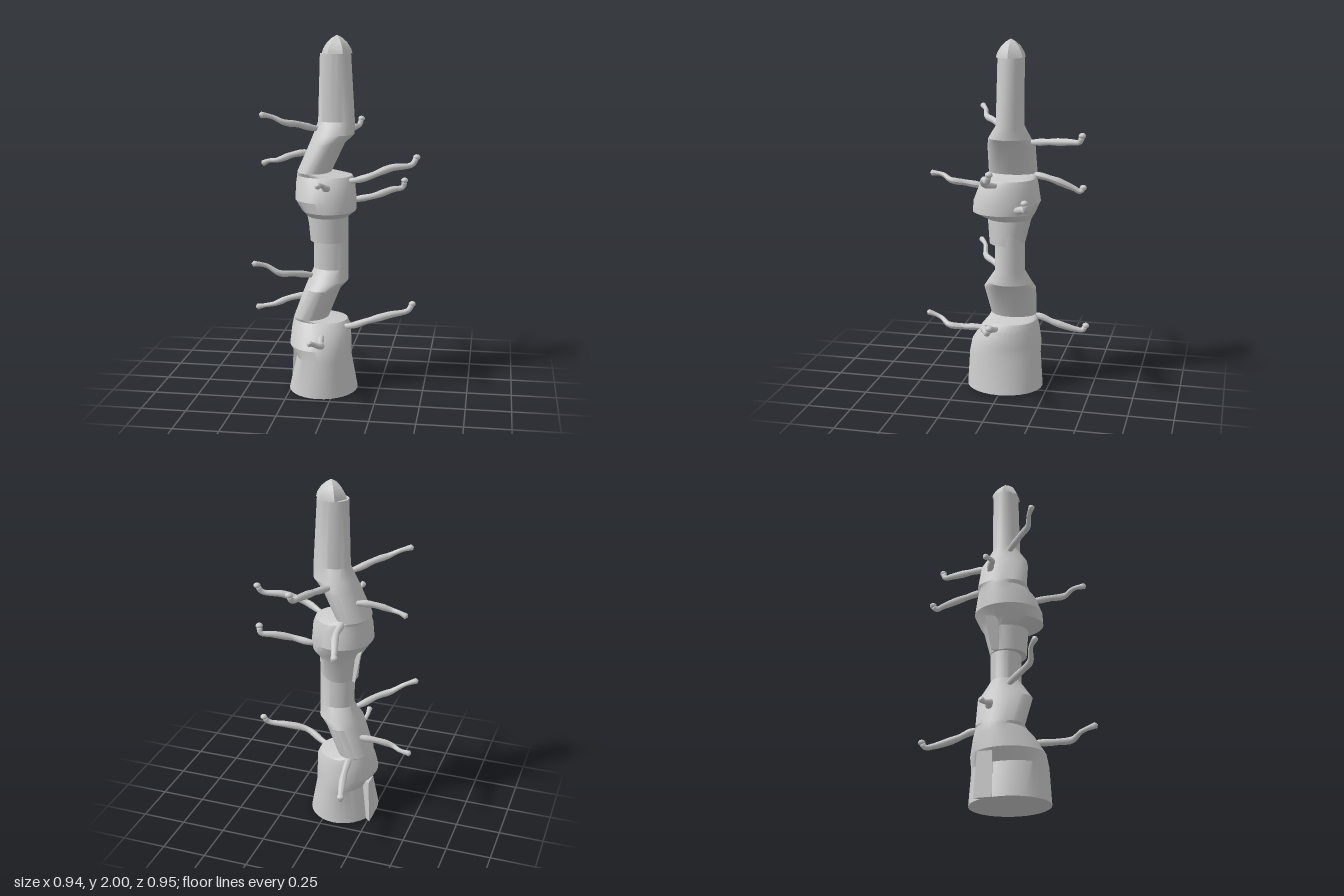
import * as THREE from 'three';
import { toCreasedNormals } from 'three/addons/utils/BufferGeometryUtils.js';

const material = new THREE.MeshStandardMaterial({ color: 0xcccccc, side: THREE.DoubleSide });

function addMesh(parent, name, geometry) {
  const mesh = new THREE.Mesh(geometry, material);
  mesh.name = name;
  parent.add(mesh);
  return mesh;
}

// Skin of elliptical rings; each ring is [y, xMin, xMax, zMin, zMax]
function ringSkin(rings, sides = 32) {
  const pos = [], index = [];
  const point = (y, x, z) => pos.push(x, y, z);
  rings.forEach(([y, x0, x1, z0, z1]) => {
    for (let i = 0; i < sides; i++) {
      const a = (i / sides) * Math.PI * 2;
      point(y, (x0 + x1) / 2 + Math.sin(a) * (x1 - x0) / 2, (z0 + z1) / 2 + Math.cos(a) * (z1 - z0) / 2);
    }
  });
  for (let r = 0; r < rings.length - 1; r++) {
    for (let i = 0; i < sides; i++) {
      const a = r * sides + i, b = r * sides + (i + 1) % sides;
      index.push(a, b, b + sides, a, b + sides, a + sides);
    }
  }
  // End caps
  [0, rings.length - 1].forEach((r, end) => {
    const [y, x0, x1, z0, z1] = rings[r];
    const c = pos.length / 3;
    point(y, (x0 + x1) / 2, (z0 + z1) / 2);
    for (let i = 0; i < sides; i++) {
      const a = r * sides + i, b = r * sides + (i + 1) % sides;
      if (end) index.push(c, a, b); else index.push(c, b, a);
    }
  });
  const geo = new THREE.BufferGeometry();
  geo.setAttribute('position', new THREE.Float32BufferAttribute(pos, 3));
  geo.setIndex(index);
  return toCreasedNormals(geo, 0.45);
}

// Tube through points whose radius follows evenly spaced values; closed at both ends
function taperedTube(points, radii) {
  const curve = new THREE.CatmullRomCurve3(points.map(p => new THREE.Vector3(...p)), false, 'centripetal');
  const steps = 40, sides = 10;
  const geo = new THREE.TubeGeometry(curve, steps, 1, sides);
  const { position, normal } = geo.attributes;
  for (let i = 0; i <= steps; i++) {
    const t = i / steps, c = curve.getPointAt(t);
    const f = t * (radii.length - 1), k = Math.min(Math.floor(f), radii.length - 2);
    const r = i === 0 || i === steps ? 0.001 : THREE.MathUtils.lerp(radii[k], radii[k + 1], f - k);
    for (let j = 0; j <= sides; j++) {
      const n = i * (sides + 1) + j;
      position.setXYZ(n, c.x + normal.getX(n) * r, c.y + normal.getY(n) * r, c.z + normal.getZ(n) * r);
    }
  }
  geo.computeVertexNormals();
  return geo;
}

// Thin wedge standing off the back left of the trunk
function fin(corners, y0, y1, shrink) {
  const pos = [];
  const mid = corners[0];
  const low = corners.map(([x, z]) => [mid[0] + (x - mid[0]) * shrink[0], y0, mid[1] + (z - mid[1]) * shrink[0]]);
  const high = corners.map(([x, z]) => [mid[0] + (x - mid[0]) * shrink[1], y1, mid[1] + (z - mid[1]) * shrink[1]]);
  const tri = (...ps) => ps.forEach(p => pos.push(...p));
  for (let i = 0; i < 3; i++) {
    const j = (i + 1) % 3;
    tri(low[i], low[j], high[j]);
    tri(low[i], high[j], high[i]);
  }
  tri(low[0], low[2], low[1]);
  tri(high[0], high[1], high[2]);
  const geo = new THREE.BufferGeometry();
  geo.setAttribute('position', new THREE.Float32BufferAttribute(pos, 3));
  geo.computeVertexNormals();
  return geo;
}

export function createModel() {
  const model = new THREE.Group();
  model.name = 'crookedTower';

  // Trunk: two similar crooked sections, one on the other
  addMesh(model, 'lowerTrunk', ringSkin([
    [0, -0.265, 0.125, -0.216, 0.222],
    [0.2, -0.22, 0.087, -0.205, 0.21],
    [0.265, -0.262, 0.087, -0.205, 0.2],
    [0.36, -0.255, 0.082, -0.19, 0.14],
    [0.4, -0.248, 0.062, -0.178, 0.105],
    [0.415, -0.243, -0.045, -0.165, 0.1],
    [0.59, -0.177, 0.025, -0.174, 0.127],
    [0.63, -0.16, 0.066, -0.155, 0.1],
    [0.7, -0.13, 0.066, -0.115, 0.053],
    [1.04, -0.13, 0.066, -0.115, 0.053],
  ]));
  addMesh(model, 'upperTrunk', ringSkin([
    [0.86, -0.145, 0.067, -0.115, 0.085],
    [1.0, -0.16, 0.067, -0.15, 0.097],
    [1.04, -0.187, 0.113, -0.174, 0.18],
    [1.1, -0.228, 0.113, -0.2, 0.18],
    [1.19, -0.226, 0.104, -0.185, 0.145],
    [1.23, -0.222, 0.088, -0.175, 0.115],
    [1.25, -0.22, -0.03, -0.168, 0.11],
    [1.41, -0.15, 0.045, -0.17, 0.1],
    [1.46, -0.13, 0.098, -0.15, 0.085],
    [1.53, -0.105, 0.1, -0.115, 0.04],
    [1.9, -0.095, 0.077, -0.115, 0.032],
  ]));

  // Six-sided pointed cap
  const profile = [[0, 1.895], [0.085, 1.9], [0.078, 1.925], [0.056, 1.96], [0.028, 1.985], [0, 2]]
    .map(p => new THREE.Vector2(...p));
  const cap = addMesh(model, 'cap', toCreasedNormals(new THREE.LatheGeometry(profile, 6, Math.PI / 2), 0.3));
  cap.position.z = -0.042;

  // Fins
  addMesh(model, 'baseFin', fin([[-0.18, -0.06], [-0.265, -0.04], [-0.264, -0.138]], 0, 0.25, [1, 0.85]));
  addMesh(model, 'neckFin', fin([[-0.09, -0.04], [-0.18, -0.04], [-0.19, -0.11]], 0.86, 1.05, [0.6, 1]));

  // Hooked arms with a knob at the turned-up end
  const hooked = [
    [[0.04, 1.2, 0], [0.1, 1.21, 0.035], [0.18, 1.235, 0.065], [0.31, 1.285, 0.03], [0.42, 1.3, -0.01], [0.445, 1.34, -0.025]],
    [[0, 0.37, 0], [0.08, 0.375, 0.035], [0.19, 0.42, 0.065], [0.31, 0.45, 0.03], [0.41, 0.47, -0.005], [0.432, 0.505, -0.02]],
    [[0.03, 1.07, -0.07], [0.1, 1.08, -0.105], [0.2, 1.1, -0.12], [0.3, 1.13, -0.175], [0.355, 1.14, -0.2], [0.365, 1.18, -0.195]],
    [[-0.04, 1.43, -0.1], [-0.01, 1.44, -0.18], [0.02, 1.45, -0.26], [0.06, 1.46, -0.38], [0.075, 1.465, -0.435], [0.085, 1.5, -0.45]],
    [[-0.1, 1.24, -0.08], [-0.1, 1.24, -0.17], [-0.1, 1.22, -0.26], [-0.13, 1.17, -0.37], [-0.14, 1.15, -0.41], [-0.148, 1.17, -0.425]],
    [[-0.14, 0.4, -0.08], [-0.145, 0.4, -0.18], [-0.15, 0.365, -0.27], [-0.175, 0.325, -0.39], [-0.185, 0.32, -0.43], [-0.192, 0.345, -0.447]],
  ];
  hooked.forEach(path => {
    const arm = new THREE.Group();
    arm.name = 'hookedArm';
    addMesh(arm, 'armTube', taperedTube(path, [0.014, 0.015, 0.02, 0.017, 0.021, 0.019, 0.015, 0.016]));
    const knob = addMesh(arm, 'armKnob', new THREE.SphereGeometry(0.02, 12, 8));
    knob.position.set(...path[path.length - 1]);
    knob.scale.y = 0.8;
    model.add(arm);
  });

  // Slender arms with a flared end
  const flared = [
    [[-0.12, 1.34, -0.11], [-0.18, 1.345, -0.085], [-0.25, 1.335, -0.06], [-0.34, 1.305, -0.03], [-0.385, 1.3, -0.04], [-0.43, 1.28, -0.04]],
    [[-0.12, 0.53, -0.11], [-0.2, 0.515, -0.08], [-0.28, 0.5, -0.055], [-0.36, 0.47, -0.03], [-0.41, 0.455, -0.045], [-0.475, 0.442, -0.04]],
    [[-0.06, 1.48, -0.03], [-0.12, 1.495, 0.02], [-0.2, 1.525, 0.1], [-0.26, 1.54, 0.155], [-0.32, 1.57, 0.175], [-0.385, 1.587, 0.21]],
    [[-0.08, 0.645, -0.03], [-0.15, 0.665, 0.03], [-0.22, 0.69, 0.11], [-0.29, 0.705, 0.17], [-0.36, 0.75, 0.19], [-0.432, 0.77, 0.235]],
    [[-0.045, 1.17, 0.06], [-0.04, 1.18, 0.13], [-0.025, 1.195, 0.22], [-0.005, 1.21, 0.3], [-0.03, 1.235, 0.355], [-0.033, 1.243, 0.43]],
    [[-0.06, 0.33, 0.07], [-0.06, 0.335, 0.15], [-0.05, 0.335, 0.25], [-0.035, 0.345, 0.33], [-0.07, 0.375, 0.39], [-0.07, 0.405, 0.475]],
  ];
  flared.forEach(path => {
    addMesh(model, 'flaredArm', taperedTube(path, [0.013, 0.015, 0.02, 0.017, 0.019, 0.014, 0.012, 0.018]));
  });

  return model;
}
